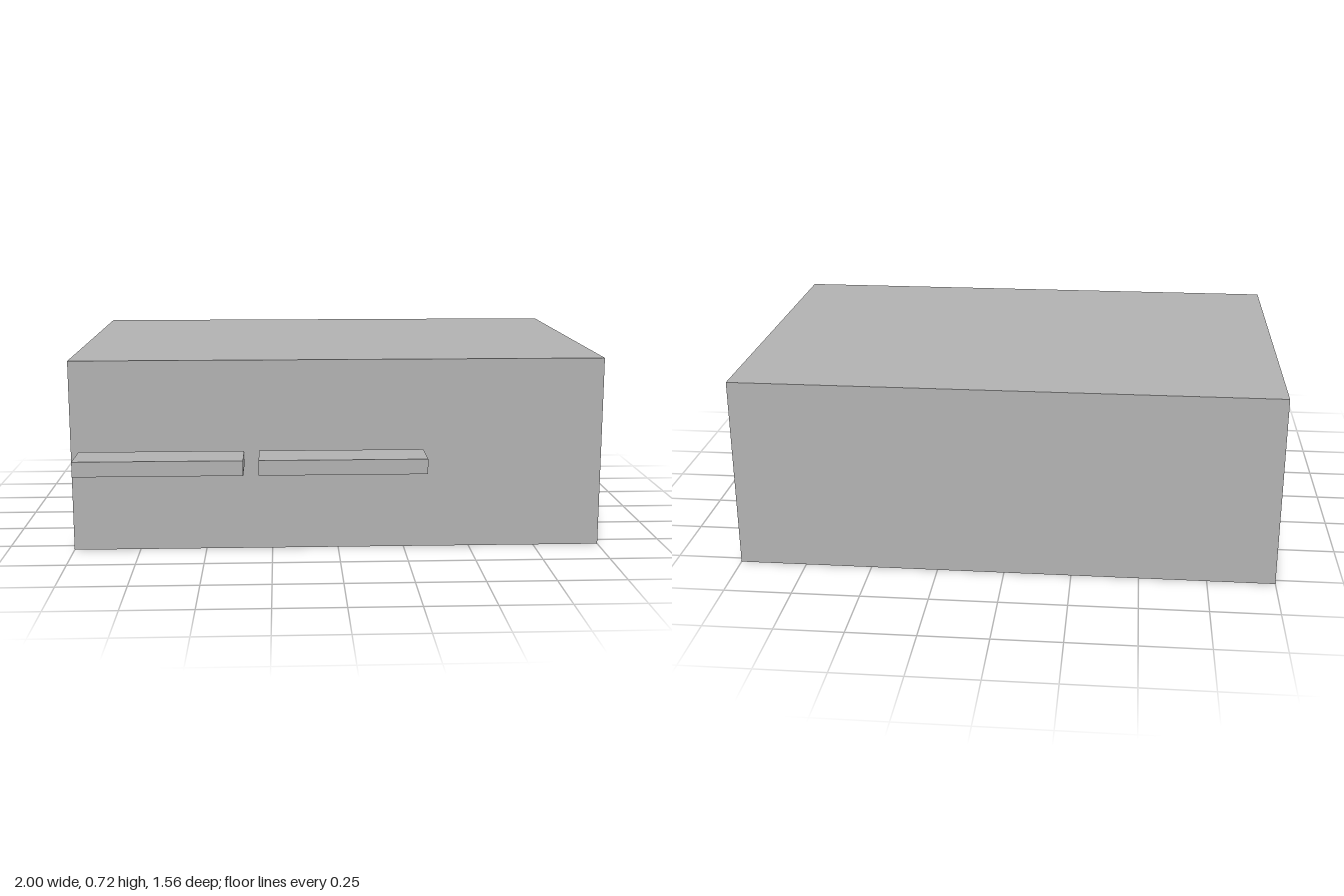
import * as THREE from 'three';

export function createModel() {
  const model = new THREE.Group();
  const grey = new THREE.MeshStandardMaterial({ color: 0xb2b2b2, side: THREE.DoubleSide });
  grey.name = 'grey';
  const u = 1 / 18; // one module of the design

  // Thin-walled case, open underneath
  const shell = new THREE.BoxGeometry(36 * u, 13 * u, 24 * u);
  const index = Array.from(shell.index.array);
  index.splice(18, 6); // drop the bottom face
  shell.setIndex(index);
  shell.clearGroups();
  const body = new THREE.Mesh(shell, grey);
  body.name = 'caseBody';
  body.position.set(0, 6.5 * u, -2 * u);
  model.add(body);

  // Two flat slabs standing just off the front
  const slab = new THREE.BoxGeometry(11 * u, u, 3 * u);
  ['rightFrontSlab', 'middleFrontSlab'].forEach((name, i) => {
    const mesh = new THREE.Mesh(slab, grey);
    mesh.name = name;
    mesh.position.set((-11.83 + 12 * i) * u, 6.53 * u, 12.5 * u);
    model.add(mesh);
  });

  return model;
}
